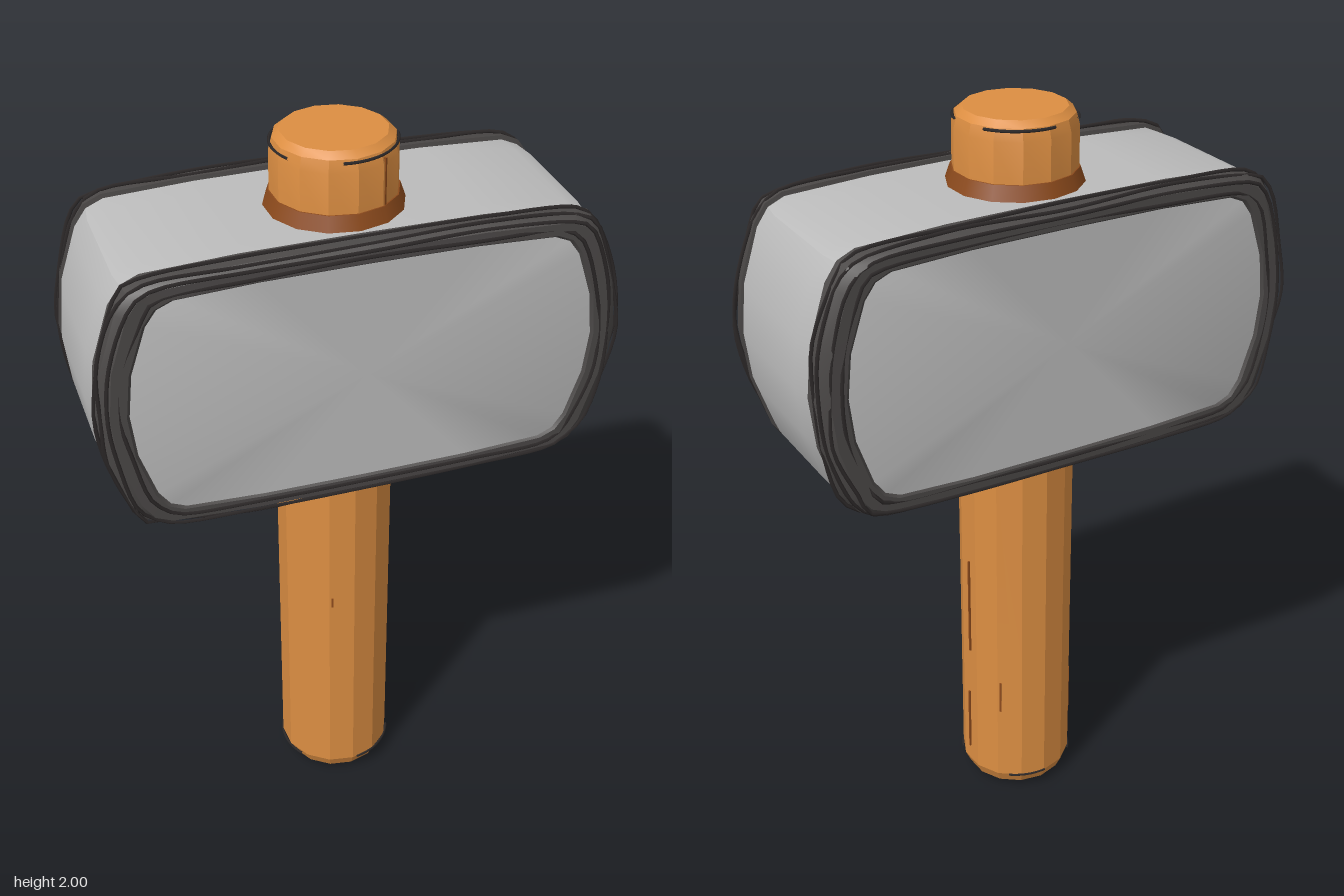
import * as THREE from 'three';
import { toCreasedNormals } from 'three/addons/utils/BufferGeometryUtils.js';

const material = (name, color) => Object.assign(new THREE.MeshStandardMaterial({ color }), { name });

// Small seeded generator for the hand-drawn wobble
let seed = 7;
const wobble = (amount) => {
  seed = (seed * 16807) % 2147483647;
  return (seed / 2147483647 - 0.5) * 2 * amount;
};

// Barrel-sided head outline: one quarter, mirrored into a closed loop
const QUARTER = [[0.667, 0], [0.653, 0.13], [0.607, 0.27], [0.575, 0.315], [0.53, 0.335], [0.3, 0.346], [0, 0.348]];
function headOutline() {
  const upper = [...QUARTER, ...QUARTER.slice(0, -1).reverse().map(([x, y]) => [-x, y])];
  return [...upper, ...upper.slice(1, -1).reverse().map(([x, y]) => [x, -y])];
}
const OUTLINE = headOutline();
const ring = (dx, dy, z) => OUTLINE.map(([x, y]) => [x * (1 - dx / 0.667), y * (1 - dy / 0.348), z]);

// Skin a list of rings running from front to back, optionally closing the first one
function loft(rings, capped = false) {
  const pos = [], n = OUTLINE.length;
  const tri = (a, b, c) => pos.push(...a, ...b, ...c);
  for (let r = 0; r < rings.length - 1; r++) {
    for (let i = 0; i < n; i++) {
      const j = (i + 1) % n, A = rings[r], B = rings[r + 1];
      tri(A[i], B[i], B[j]);
      tri(A[i], B[j], A[j]);
    }
  }
  if (capped) {
    const z = rings[0][0][2];
    for (let i = 0; i < n; i++) tri([0, 0, z], rings[0][i], rings[0][(i + 1) % n]);
  }
  const g = new THREE.BufferGeometry();
  g.setAttribute('position', new THREE.Float32BufferAttribute(pos, 3));
  return toCreasedNormals(g, 0.5);
}

export function createModel() {
  seed = 7;
  const wood = material('wood', 0xdc8e42);
  const darkWood = material('darkWood', 0x8c4a1c);
  const stone = material('stone', 0xbcbcbc);
  const trim = material('trim', 0x4b4847);
  const ink = material('ink', 0x2e2a2a);

  const model = new THREE.Group();
  model.name = 'hammer';
  const add = (parent, name, geometry, mat) => {
    const mesh = new THREE.Mesh(geometry, mat);
    mesh.name = name;
    parent.add(mesh);
    return mesh;
  };

  // Head, turned slightly about the handle
  const head = new THREE.Group();
  head.name = 'head';
  head.position.y = 1.475;
  head.rotation.y = -0.045;
  model.add(head);
  add(head, 'headSides', loft([ring(0.012, 0.008, 0.215), ring(0, 0.008, 0.14), ring(0, 0.008, -0.14), ring(0.012, 0.008, -0.215)]), stone);

  for (const side of [1, -1]) {
    const face = new THREE.Group();
    face.name = side > 0 ? 'frontFace' : 'backFace';
    if (side < 0) face.rotation.y = Math.PI;
    head.add(face);
    add(face, 'facePanel', loft([ring(0.07, 0.04, 0.257), ring(0.05, 0.03, 0.25)], true), stone);
    // Dark painted rim wrapping the edge
    add(face, 'edgeRim', loft([
      ring(0.086, 0.052, 0.254), ring(0.075, 0.045, 0.263), ring(0.035, 0.015, 0.262),
      ring(0.012, 0.002, 0.245), ring(0.004, -0.003, 0.205), ring(0.02, 0.02, 0.2),
    ]), trim);
    // Loose ink strokes running round the rim
    for (const [dx, dy, z] of [[0.03, 0.012, 0.262], [0.012, 0.002, 0.246], [0.006, -0.002, 0.222], [0.06, 0.034, 0.263]]) {
      const points = ring(dx, dy, z).map(([x, y, d]) =>
        new THREE.Vector3(x + wobble(0.008), y + wobble(0.005), d + wobble(0.006)));
      const path = new THREE.CatmullRomCurve3(points, true, 'centripetal');
      add(face, 'rimStroke', new THREE.TubeGeometry(path, 96, 0.005, 4, true), ink);
    }
  }

  // Handle running through the head, with bevelled ends
  const handle = new THREE.Group();
  handle.name = 'handle';
  handle.position.set(-0.003, 0, 0.004);
  model.add(handle);
  const profile = [[0, 0], [0.115, 0], [0.14, 0.015], [0.156, 0.05], [0.155, 1.1], [0.157, 1.8],
    [0.156, 1.955], [0.148, 1.985], [0.13, 2], [0, 2]].map(([r, y]) => new THREE.Vector2(r, y));
  add(handle, 'shaft', toCreasedNormals(new THREE.LatheGeometry(profile, 14), 0.4), wood);

  // Dark collars where the handle meets the head
  add(handle, 'lowerCollar', new THREE.CylinderGeometry(0.163, 0.158, 0.06, 14, 1), darkWood).position.y = 1.105;
  add(handle, 'upperCollar', new THREE.CylinderGeometry(0.16, 0.174, 0.04, 14, 1), darkWood).position.y = 1.832;

  // Broken ink arcs round both bevels
  for (const [y, r, start, arc] of [[0.05, 0.156, 0.4, 1.1], [0.045, 0.156, 2.6, 1.3], [0.05, 0.156, 4.7, 0.7],
    [1.978, 0.151, 0.2, 1.6], [1.972, 0.153, 2.7, 1.2], [1.98, 0.15, 4.6, 1.2]]) {
    const stroke = add(handle, 'bevelStroke', new THREE.TorusGeometry(r, 0.004, 4, 16, arc), ink);
    stroke.rotation.set(Math.PI / 2, 0, start);
    stroke.position.y = y;
  }

  // Fine wood-grain scratches
  for (const [angle, y, length] of [[0.5, 1.91, 0.12], [1.6, 0.6, 0.3], [1.55, 0.2, 0.2], [2.3, 0.33, 0.1],
    [4.1, 0.25, 0.16], [-0.4, 0.67, 0.03]]) {
    const scratch = add(handle, 'grainScratch', new THREE.BoxGeometry(0.005, length, 0.006), darkWood);
    scratch.position.set(Math.sin(angle) * 0.154, y, Math.cos(angle) * 0.154);
    scratch.rotation.y = angle;
  }
  return model;
}
